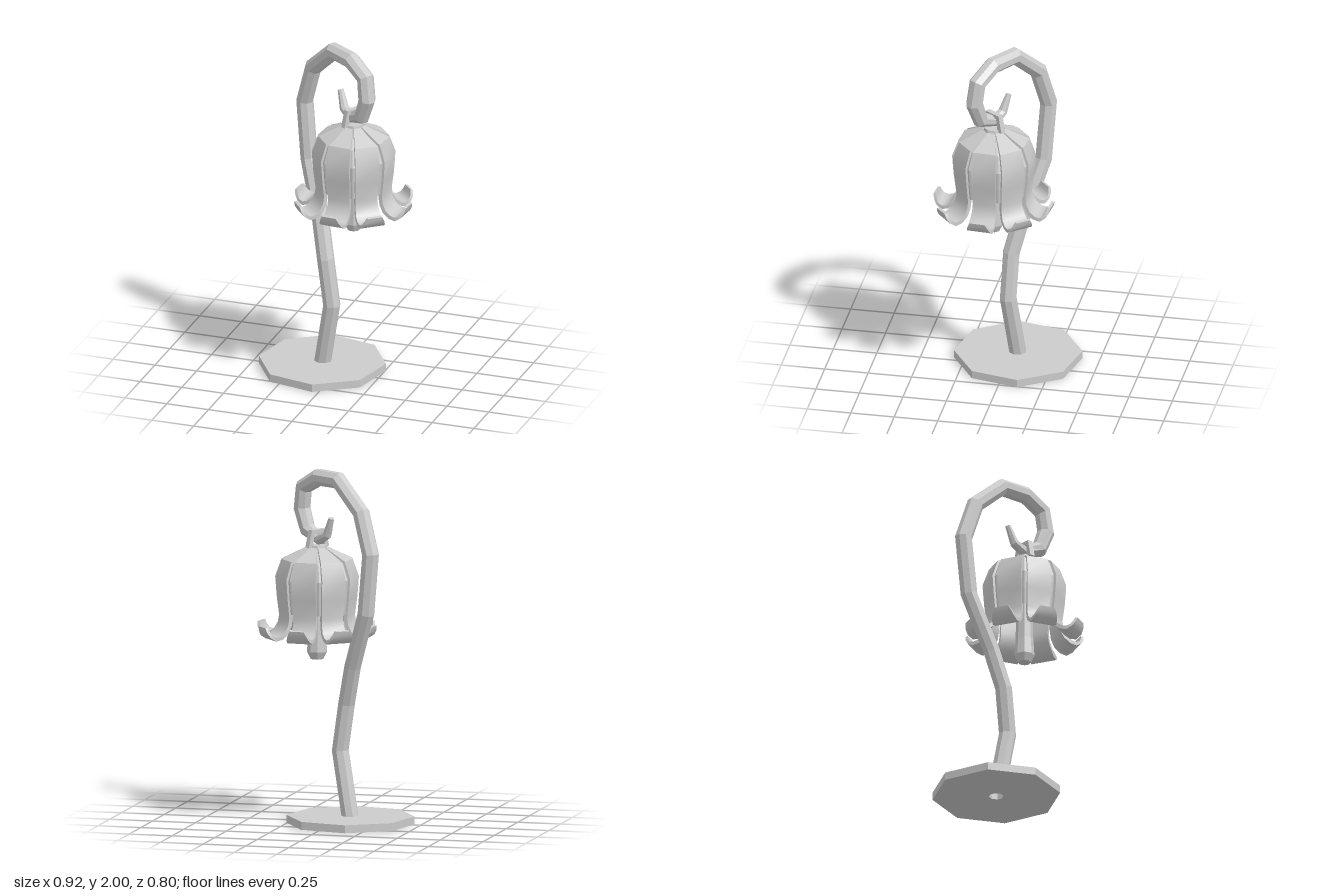
import * as THREE from 'three';
import { toCreasedNormals } from 'three/addons/utils/BufferGeometryUtils.js';

const V = (x, y, z) => new THREE.Vector3(x, y, z);
const flat = new THREE.MeshStandardMaterial({ color: 0xcccccc, flatShading: true, side: THREE.DoubleSide });
const smooth = new THREE.MeshStandardMaterial({ color: 0xcccccc, side: THREE.DoubleSide });

function part(name, geometry, material = flat) {
  const mesh = new THREE.Mesh(geometry, material);
  mesh.name = name;
  return mesh;
}

// Skin closed rings of points (counter-clockwise about the travel direction)
function loft(rings, capStart = true) {
  const n = rings[0].length, last = rings.length - 1, index = [];
  for (let i = 0; i < last; i++) {
    for (let j = 0; j < n; j++) {
      const k = (j + 1) % n, a = i * n, b = a + n;
      index.push(a + j, a + k, b + k, a + j, b + k, b + j);
    }
  }
  for (let j = 1; j < n - 1; j++) {
    if (capStart) index.push(0, j + 1, j);
    index.push(last * n, last * n + j, last * n + j + 1);
  }
  const g = new THREE.BufferGeometry().setFromPoints(rings.flat());
  g.setIndex(index);
  g.computeVertexNormals();
  return g;
}

// Sweep a polygon along a nearly planar path; side is the plane's normal
function sweep(path, radii, side, sides, capStart) {
  const rings = path.map((p, i) => {
    const t = V(0, 0, 0);
    if (i > 0) t.add(p.clone().sub(path[i - 1]).normalize());
    if (i < path.length - 1) t.add(path[i + 1].clone().sub(p).normalize());
    const m = t.normalize().clone().cross(side).normalize();
    return Array.from({ length: sides }, (_, j) => {
      const a = ((j + 0.5) / sides) * Math.PI * 2;
      return p.clone().addScaledVector(side, Math.cos(a) * radii[i]).addScaledVector(m, Math.sin(a) * radii[i]);
    });
  });
  return loft(rings, capStart);
}

function polygon(PathType, sides, r, turn) {
  const pts = Array.from({ length: sides }, (_, i) => {
    const a = turn + (i / sides) * Math.PI * 2;
    return new THREE.Vector2(r * Math.cos(a), r * Math.sin(a));
  });
  return new PathType(pts);
}

// One bell petal: outer profile of [radius, height, half width], thickened inwards
function petalGeometry() {
  const profile = [
    [0.06, 1.557, 0.022], [0.19, 1.49, 0.065], [0.225, 1.39, 0.073], [0.217, 1.28, 0.071],
    [0.204, 1.17, 0.066], [0.211, 1.13, 0.068], [0.23, 1.095, 0.073], [0.258, 1.072, 0.075],
    [0.285, 1.065, 0.075], [0.308, 1.075, 0.068], [0.321, 1.097, 0.057], [0.327, 1.123, 0.043],
  ];
  const rings = profile.map(([r, y, w], i) => {
    const a = profile[Math.max(i - 1, 0)], b = profile[Math.min(i + 1, profile.length - 1)];
    const t = new THREE.Vector2(b[0] - a[0], b[1] - a[1]).normalize();
    const thick = i > 8 ? 0.016 : 0.022;
    const ri = r + t.y * thick, yi = y - t.x * thick;
    return [V(r, y, -w), V(r, y, w), V(ri, yi, w), V(ri, yi, -w)];
  });
  return toCreasedNormals(loft(rings), 0.7);
}

export function createModel() {
  const model = new THREE.Group();

  // Octagonal foot with a hole for the stem
  const footShape = polygon(THREE.Shape, 8, 0.363, 0.18);
  footShape.holes.push(polygon(THREE.Path, 8, 0.042, 0.18));
  const foot = part('base', new THREE.ExtrudeGeometry(footShape, { depth: 0.045, bevelEnabled: false }));
  foot.rotation.x = -Math.PI / 2;
  foot.position.set(-0.102, 0, -0.043);
  model.add(foot);

  // Curling stem that ends in a thin upturned hook
  const stemPath = [
    V(-0.104, 0.01, -0.045), V(-0.03, 0.41, 0), V(-0.07, 0.68, -0.01), V(-0.12, 0.9, -0.065),
    V(-0.225, 1.22, -0.165), V(-0.258, 1.56, -0.187), V(-0.19, 1.79, -0.14), V(-0.03, 1.953, -0.035),
    V(0.11, 1.953, 0.06), V(0.217, 1.885, 0.127), V(0.232, 1.76, 0.142), V(0.192, 1.645, 0.115),
    V(0.105, 1.603, 0.05), V(0.05, 1.635, 0.015), V(0.018, 1.733, -0.013),
  ];
  const stemRadii = stemPath.map((_, i) => (i < 11 ? 0.05 : [0.047, 0.034, 0.027, 0.017][i - 11]));
  const side = V(-0.56, 0, 0.83).normalize();
  model.add(part('stem', sweep(stemPath, stemRadii, side, 8, false)));

  // Bell flower hanging from the hook
  const flower = new THREE.Group();
  flower.name = 'bellFlower';
  flower.position.set(0.12, 0, 0.052);
  flower.rotation.y = -0.08;
  const petal = petalGeometry();
  for (let i = 0; i < 8; i++) {
    const mesh = part('petal', petal, smooth);
    mesh.rotation.y = (i * Math.PI) / 4;
    flower.add(mesh);
  }

  // Recessed wall that closes the seams between the petals
  const wallProfile = [[0.194, 1.19], [0.204, 1.28], [0.212, 1.385], [0.18, 1.48], [0.055, 1.547]]
    .map(([r, y]) => new THREE.Vector2(r / Math.cos(Math.PI / 8), y));
  flower.add(part('bellWall', new THREE.LatheGeometry(wallProfile, 8, Math.PI / 8)));

  const crown = part('crown', new THREE.CylinderGeometry(0.056, 0.064, 0.04, 8));
  crown.position.y = 1.548;
  crown.rotation.y = Math.PI / 8;
  flower.add(crown);

  const clapperProfile = [[0, 0.915], [0.036, 0.917], [0.057, 0.96], [0.05, 1.06], [0.045, 1.3], [0.04, 1.54]]
    .map(([r, y]) => new THREE.Vector2(r, y));
  flower.add(part('clapper', new THREE.LatheGeometry(clapperProfile, 8, Math.PI / 8)));
  model.add(flower);

  // Small arch over the hook, across the plane of the stem
  const archPath = [[0.06, 1.555], [0.042, 1.645], [-0.042, 1.645], [-0.06, 1.555]]
    .map(([s, y]) => V(0.119 + side.x * s, y, 0.052 + side.z * s));
  const across = V(side.z, 0, -side.x);
  model.add(part('hangerArch', sweep(archPath, archPath.map(() => 0.022), across, 4, true)));

  return model;
}
